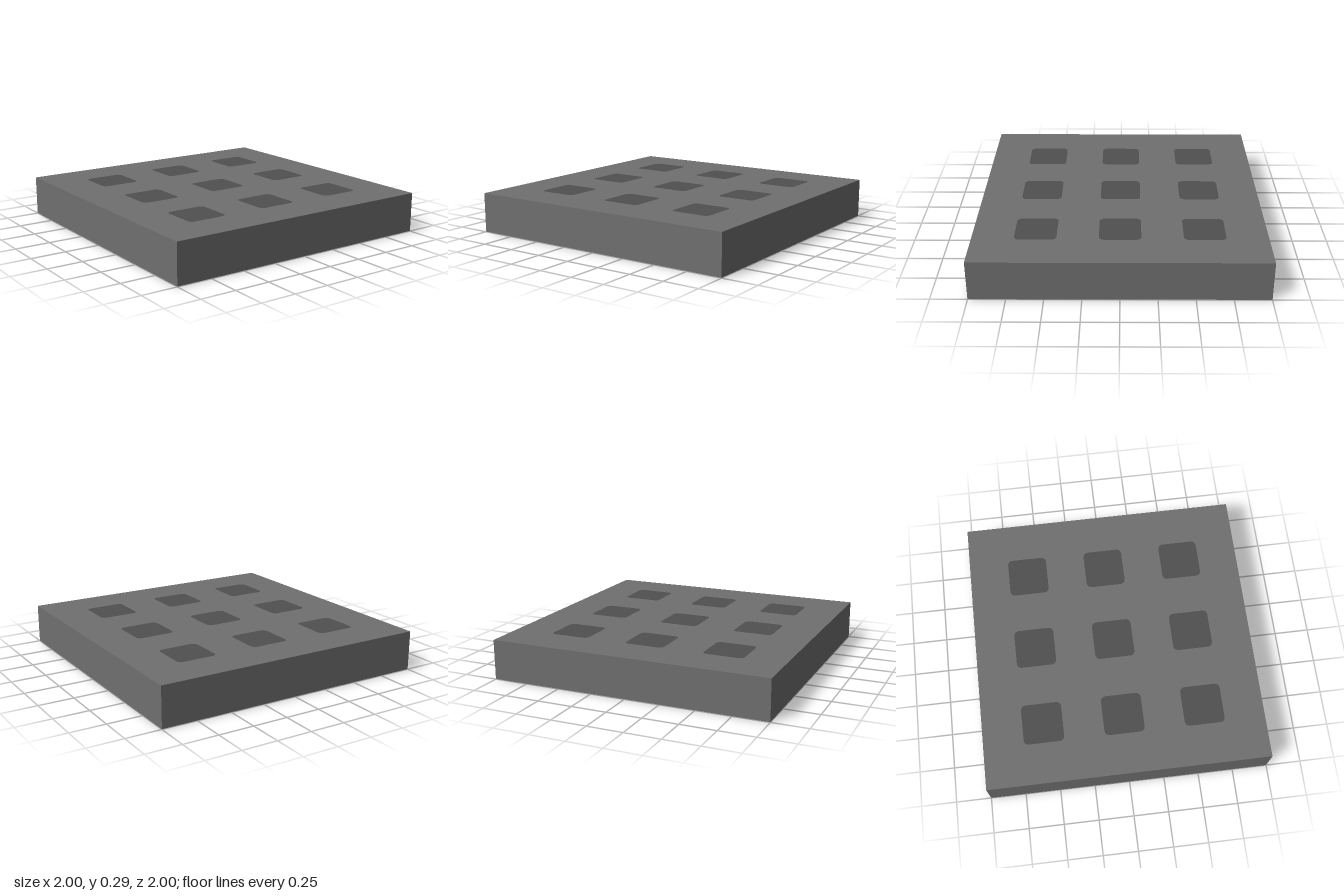
import * as THREE from 'three';

const SIZE = 2, HEIGHT = 0.286, PAD = 0.286, PITCH = 0.571, RADIUS = 0.035, PROUD = 0.0015;

// Square outline with rounded corners, centred on the origin
function roundedSquare(size, r) {
  const h = size / 2, s = new THREE.Shape();
  s.absarc(h - r, h - r, r, 0, Math.PI / 2);
  s.absarc(r - h, h - r, r, Math.PI / 2, Math.PI);
  s.absarc(r - h, r - h, r, Math.PI, Math.PI * 1.5);
  s.absarc(h - r, r - h, r, Math.PI * 1.5, Math.PI * 2);
  s.closePath();
  return s;
}

export function createModel() {
  const model = new THREE.Group();
  model.name = 'slab';
  const grey = new THREE.MeshStandardMaterial({ name: 'midGrey', color: 0x707070 });
  const dark = new THREE.MeshStandardMaterial({ name: 'darkGrey', color: 0x505050 });

  // Square body
  const body = new THREE.Mesh(new THREE.BoxGeometry(SIZE, HEIGHT - 2 * PROUD, SIZE), grey);
  body.name = 'body';
  body.position.y = HEIGHT / 2;
  model.add(body);

  // Three by three dark squares on the top and the underside
  const face = new THREE.ShapeGeometry(roundedSquare(PAD, RADIUS), 4);
  for (const side of [1, -1]) {
    const squares = new THREE.Group();
    squares.name = side > 0 ? 'topSquares' : 'bottomSquares';
    for (let i = -1; i <= 1; i++) {
      for (let j = -1; j <= 1; j++) {
        const square = new THREE.Mesh(face, dark);
        square.name = 'square';
        square.rotation.x = -side * Math.PI / 2;
        square.position.set(i * PITCH, side > 0 ? HEIGHT : 0, j * PITCH);
        squares.add(square);
      }
    }
    model.add(squares);
  }
  return model;
}
